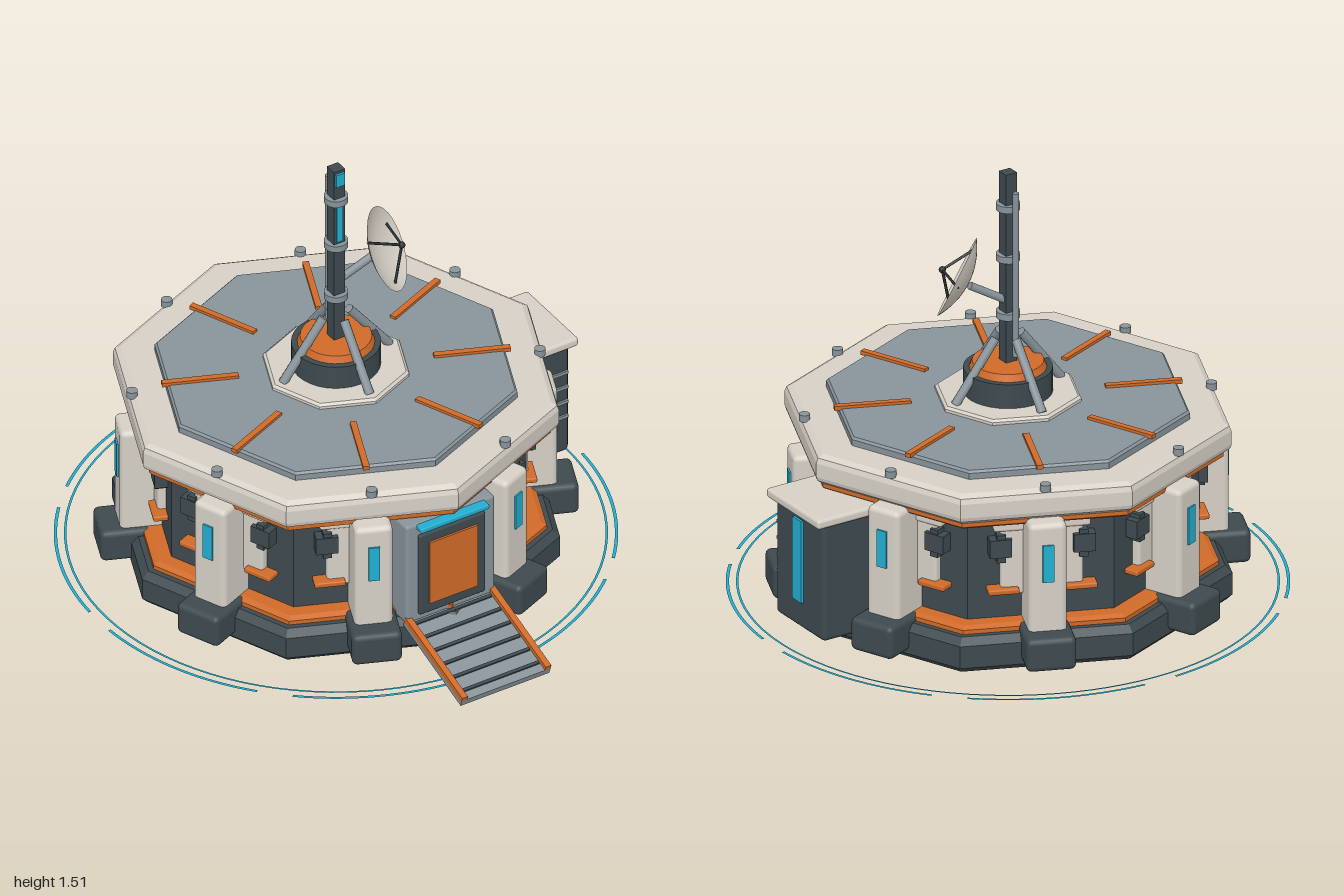
import * as THREE from 'three';
import { RoundedBoxGeometry } from 'three/addons/geometries/RoundedBoxGeometry.js';

const paint = (name, color, side = THREE.FrontSide) => {
  const m = new THREE.MeshStandardMaterial({ color, side });
  m.name = name;
  return m;
};

export function createModel() {
  const white = paint('warm white', 0xd6d0c6, THREE.DoubleSide);
  const dark = paint('dark slate', 0x3e4a4f);
  const grey = paint('steel grey', 0x87939a);
  const orange = paint('orange', 0xcf6a28);
  const cyan = paint('cyan light', 0x22aed0, THREE.DoubleSide);
  const black = paint('charcoal', 0x263034);

  const model = new THREE.Group();
  model.name = 'domeStation';
  const station = new THREE.Group();
  station.name = 'station';
  station.position.z = -0.06;
  model.add(station);

  const add = (parent, name, geo, mat, x = 0, y = 0, z = 0) => {
    const m = new THREE.Mesh(geo, mat);
    m.name = name;
    m.position.set(x, y, z);
    parent.add(m);
    return m;
  };
  // boxes given by their min and max on each axis
  const box = (parent, name, mat, [x0, x1], [y0, y1], [z0, z1], round = 0) => {
    const s = [x1 - x0, y1 - y0, z1 - z0];
    const geo = round ? new RoundedBoxGeometry(...s, 2, round) : new THREE.BoxGeometry(...s);
    return add(parent, name, geo, mat, (x0 + x1) / 2, (y0 + y1) / 2, (z0 + z1) / 2);
  };
  // faceted eight-sided solid from a bottom-to-top profile, corners on the axes
  const octagon = (name, mat, profile) => {
    const pts = profile.map(([r, y]) => new THREE.Vector2(r, y));
    const geo = new THREE.LatheGeometry(pts, 8).toNonIndexed();
    geo.computeVertexNormals();
    return add(station, name, geo, mat);
  };
  const bar = (parent, name, mat, a, b, r, sides = 10) => {
    const p = new THREE.Vector3(...a), q = new THREE.Vector3(...b);
    const m = add(parent, name, new THREE.CylinderGeometry(r, r, p.distanceTo(q), sides), mat);
    m.position.copy(p).add(q).multiplyScalar(0.5);
    m.quaternion.setFromUnitVectors(new THREE.Vector3(0, 1, 0), q.sub(p).normalize());
    return m;
  };
  const spoke = (name, angle) => {
    const g = new THREE.Group();
    g.name = name;
    g.rotation.y = angle;
    station.add(g);
    return g;
  };

  // Octagonal layers, bottom to top
  octagon('base', dark, [[0, 0.01], [0.745, 0.01], [0.765, 0.03], [0.765, 0.11], [0.74, 0.135], [0, 0.135]]);
  octagon('baseTrim', orange, [[0.6, 0.13], [0.72, 0.13], [0.72, 0.15], [0.7, 0.16], [0.6, 0.16]]);
  octagon('wall', dark, [[0.65, 0.13], [0.65, 0.56]]);
  octagon('eavesTrim', orange, [[0.6, 0.525], [0.72, 0.525], [0.735, 0.535], [0.735, 0.555]]);
  octagon('roofSlab', white, [[0, 0.55], [0.735, 0.55], [0.757, 0.565], [0.762, 0.58], [0.762, 0.63],
    [0.755, 0.648], [0.735, 0.66], [0, 0.66]]);
  octagon('roofPanel', grey, [[0.62, 0.655], [0.62, 0.682], [0.612, 0.69], [0, 0.69]]);
  octagon('roofHub', white, [[0.25, 0.685], [0.25, 0.7], [0.24, 0.708], [0, 0.708]]);

  // Eight wall bays, each with a foot, pillar, panel and roof fittings
  for (let i = 0; i < 8; i++) {
    const bay = spoke('wallBay', (i + 0.5) * Math.PI / 4);
    box(bay, 'foot', dark, [-0.085, 0.085], [0.04, 0.16], [0.62, 0.81], 0.02);
    box(bay, 'pillar', white, [-0.065, 0.065], [0.14, 0.55], [0.58, 0.74], 0.02);
    box(bay, 'pillarLight', cyan, [-0.019, 0.019], [0.34, 0.475], [0.735, 0.746]);
    box(bay, 'wallPanel', white, [-0.14, 0.14], [0.25, 0.52], [0.57, 0.628], 0.012);
    box(bay, 'panelCap', white, [-0.165, 0.165], [0.485, 0.52], [0.57, 0.635], 0.01);
    for (const s of [-1, 1]) {
      const span = (a, b) => s > 0 ? [a, b] : [-b, -a];
      box(bay, 'wallPort', dark, span(0.105, 0.18), [0.395, 0.46], [0.57, 0.645]);
      box(bay, 'wallPortLip', dark, span(0.125, 0.155), [0.375, 0.475], [0.57, 0.64]);
      box(bay, 'wallStripe', orange, span(0.08, 0.185), [0.26, 0.28], [0.57, 0.65], 0.006);
    }
    box(bay, 'roofStripe', orange, [-0.011, 0.011], [0.685, 0.7], [0.33, 0.59]);
    add(bay, 'roofBolt', new THREE.CylinderGeometry(0.019, 0.019, 0.025, 12), grey, 0, 0.666, 0.69);
  }

  // Door
  const door = new THREE.Group();
  door.name = 'door';
  model.add(door);
  box(door, 'doorFrame', grey, [-0.175, 0.175], [0.13, 0.53], [0.45, 0.655], 0.012);
  box(door, 'doorSurround', dark, [-0.13, 0.13], [0.16, 0.485], [0.6, 0.667], 0.006);
  box(door, 'doorLeaf', orange, [-0.095, 0.095], [0.2, 0.45], [0.62, 0.675]);
  box(door, 'doorLight', cyan, [-0.135, 0.135], [0.506, 0.526], [0.64, 0.685], 0.006);

  // Ramp with slats and side rails
  const ramp = new THREE.Group();
  ramp.name = 'ramp';
  ramp.position.set(0, 0.078, 0.818);
  ramp.rotation.x = 0.31;
  model.add(ramp);
  box(ramp, 'rampPlate', grey, [-0.175, 0.175], [-0.018, 0.006], [-0.187, 0.187]);
  for (let i = 0; i < 6; i++) {
    const z = -0.16 + i * 0.062;
    box(ramp, 'rampGroove', dark, [-0.15, 0.15], [0.004, 0.012], [z - 0.006, z + 0.006]);
  }
  for (const x of [-0.165, 0.165])
    box(ramp, 'rampRail', orange, [x - 0.011, x + 0.011], [0, 0.022], [-0.187, 0.187]);

  // Utility cabinet on the left side
  const cabinet = new THREE.Group();
  cabinet.name = 'utilityCabinet';
  model.add(cabinet);
  box(cabinet, 'cabinetBody', dark, [0.58, 0.86], [0.07, 0.51], [-0.255, 0.04], 0.018);
  box(cabinet, 'cabinetLid', white, [0.58, 0.89], [0.495, 0.53], [-0.27, 0.052], 0.012);
  box(cabinet, 'cabinetLight', cyan, [0.855, 0.869], [0.17, 0.47], [-0.133, -0.078]);
  for (let i = 0; i < 4; i++) {
    const y = 0.22 + i * 0.06;
    box(cabinet, 'cabinetVent', grey, [0.75, 0.85], [y - 0.006, y + 0.006], [0.03, 0.047]);
  }

  // Turret, struts and mast
  const mast = spoke('mast', 0);
  add(mast, 'turret', new THREE.CylinderGeometry(0.15, 0.15, 0.09, 32), dark, 0, 0.75, 0);
  add(mast, 'turretCap', new THREE.CylinderGeometry(0.12, 0.13, 0.025, 32), orange, 0, 0.807, 0);
  box(mast, 'mastPole', dark, [-0.022, 0.022], [0.8, 1.51], [-0.022, 0.022]);
  for (const y of [0.99, 1.2, 1.385])
    add(mast, 'mastCollar', new THREE.CylinderGeometry(0.041, 0.041, 0.024, 16), grey, 0, y, 0);
  box(mast, 'mastStrip', cyan, [-0.012, 0.012], [1.22, 1.365], [0.018, 0.026]);
  box(mast, 'mastBeacon', cyan, [-0.017, 0.017], [1.45, 1.5], [0.018, 0.03]);
  bar(mast, 'antennaRod', grey, [0, 0.85, -0.048], [0, 1.45, -0.048], 0.011);
  for (let i = 0; i < 4; i++) {
    const a = i * Math.PI / 2, s = Math.sin(a), c = Math.cos(a);
    bar(mast, 'strut', grey, [s * 0.21, 0.705, c * 0.21], [s * 0.05, 0.91, c * 0.05], 0.016);
  }

  // Dish, its axis along local +y
  const dish = new THREE.Group();
  dish.name = 'dish';
  dish.position.set(0.167, 1.143, 0.055);
  dish.quaternion.setFromUnitVectors(new THREE.Vector3(0, 1, 0), new THREE.Vector3(0.66, 0.42, 0.62).normalize());
  mast.add(dish);
  const bowl = [];
  for (let i = 0; i <= 8; i++) bowl.push(new THREE.Vector2(0.147 * i / 8, -0.045 + 0.045 * (i / 8) ** 2));
  add(dish, 'dishBowl', new THREE.LatheGeometry(bowl, 32), white);
  for (let i = 0; i < 3; i++) {
    const a = i * Math.PI * 2 / 3 + 0.5;
    bar(dish, 'feedLeg', black, [Math.sin(a) * 0.12, -0.015, Math.cos(a) * 0.12], [0, 0.055, 0], 0.005, 6);
  }
  add(dish, 'feedHorn', new THREE.SphereGeometry(0.012, 12, 8), black, 0, 0.055, 0);
  bar(mast, 'dishArm', grey, [0.015, 1.045, 0], [0.135, 1.115, 0.025], 0.014);

  // Ground light rings
  const flat = (name, inner, outer, seg, start, length) => {
    const m = add(station, name, new THREE.RingGeometry(inner, outer, seg, 1, start, length), cyan, 0, 0.004, 0);
    m.rotation.x = -Math.PI / 2;
  };
  flat('groundRing', 0.899, 0.907, 96, 0, Math.PI * 2);
  for (let i = 0; i < 8; i++) flat('groundArc', 0.93, 0.941, 16, i * Math.PI / 4 + 0.065, Math.PI / 4 - 0.13);

  return model;
}
